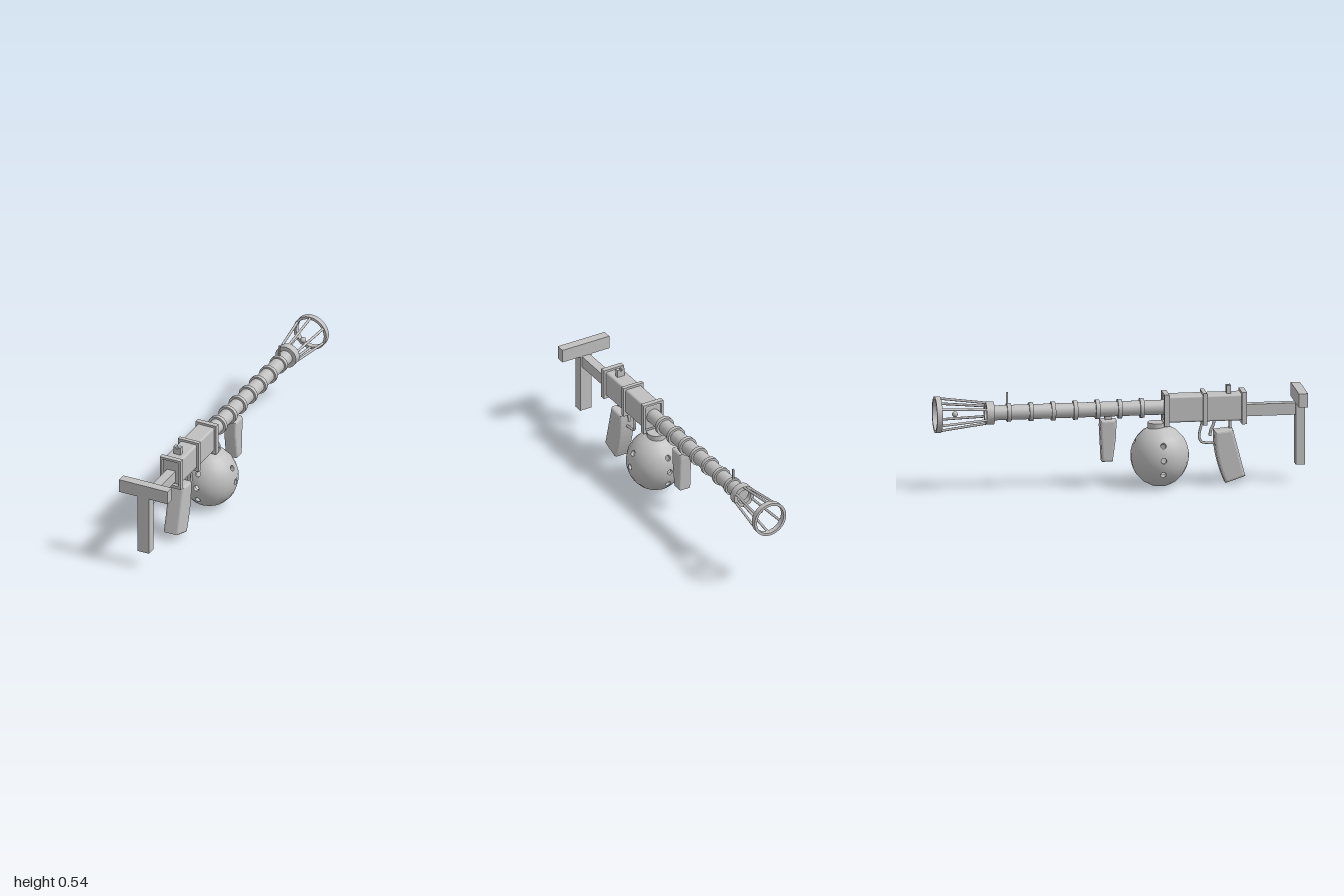
import * as THREE from 'three';
import { mergeGeometries, mergeVertices } from 'three/addons/utils/BufferGeometryUtils.js';
import { RoundedBoxGeometry } from 'three/addons/geometries/RoundedBoxGeometry.js';

const metal = new THREE.MeshStandardMaterial({ color: 0xc0c0c0, side: THREE.DoubleSide });
metal.name = 'grey metal';
const AXIS_Y = 0.43; // height of the barrel axis

export function createModel() {
  const model = new THREE.Group();

  const add = (name, geometry, x = 0, y = 0, z = 0) => {
    const mesh = new THREE.Mesh(geometry, metal);
    mesh.name = name;
    mesh.position.set(x, y, z);
    model.add(mesh);
    return mesh;
  };
  // box given by its limits
  const box = (name, x0, x1, y0, y1, z0, z1) =>
    add(name, new THREE.BoxGeometry(x1 - x0, y1 - y0, z1 - z0), (x0 + x1) / 2, (y0 + y1) / 2, (z0 + z1) / 2);
  // cylinder along z, centred on the barrel axis
  const roundZ = (name, r, z0, z1) =>
    add(name, new THREE.CylinderGeometry(r, r, z1 - z0, 24).rotateX(Math.PI / 2), 0, AXIS_Y, (z0 + z1) / 2);
  // hollow ring along z
  const ringZ = (name, outer, inner, z0, z1) => {
    const shape = new THREE.Shape().absarc(0, 0, outer, 0, Math.PI * 2);
    shape.holes.push(new THREE.Path().absarc(0, 0, inner, 0, Math.PI * 2, true));
    return add(name, new THREE.ExtrudeGeometry(shape, { depth: z1 - z0, bevelEnabled: false, curveSegments: 32 }), 0, AXIS_Y, z0);
  };
  const rod = (name, a, b, r) => {
    const dir = b.clone().sub(a);
    const mesh = add(name, new THREE.CylinderGeometry(r, r, dir.length(), 8));
    mesh.position.copy(a).add(b).multiplyScalar(0.5);
    mesh.quaternion.setFromUnitVectors(new THREE.Vector3(0, 1, 0), dir.normalize());
    return mesh;
  };
  const tube = (name, points, r) => {
    const path = new THREE.CatmullRomCurve3(points.map(([z, y]) => new THREE.Vector3(0, y, z)));
    return add(name, new THREE.TubeGeometry(path, 20, r, 8));
  };
  // handle whose side outline is given in (z, y), rounded at the edges
  const handle = (name, shape, halfWidth, bevel) => {
    const geometry = new THREE.ExtrudeGeometry(shape, {
      depth: 2 * (halfWidth - bevel), bevelThickness: bevel, bevelSize: bevel,
      bevelOffset: -bevel, bevelSegments: 3, curveSegments: 8,
    });
    geometry.translate(0, 0, bevel - halfWidth).rotateY(-Math.PI / 2);
    return add(name, geometry);
  };

  // shoulder stock
  box('stockCrossbar', -0.145, 0.145, 0.435, 0.51, 0.95, 1);
  box('stockPost', -0.035, 0.035, 0.098, 0.435, 0.95, 1);
  box('stockArm', -0.025, 0.025, 0.37, 0.435, 0.66, 0.95);

  // receiver and its bands
  add('receiver', new RoundedBoxGeometry(0.1, 0.145, 0.43, 2, 0.012), 0, 0.425, 0.455);
  for (const [z0, z1] of [[0.235, 0.263], [0.445, 0.467], [0.655, 0.683]]) {
    const frame = new THREE.Shape();
    frame.moveTo(-0.062, 0.335).lineTo(0.062, 0.335).lineTo(0.062, 0.51).lineTo(-0.062, 0.51).closePath();
    const hole = new THREE.Path();
    hole.moveTo(-0.049, 0.358).lineTo(-0.049, 0.492).lineTo(-0.044, 0.497).lineTo(0.044, 0.497);
    hole.lineTo(0.049, 0.492).lineTo(0.049, 0.358).lineTo(0.044, 0.353).lineTo(-0.044, 0.353).closePath();
    frame.holes.push(hole);
    add('receiverBand', new THREE.ExtrudeGeometry(frame, { depth: z1 - z0, bevelEnabled: false }), 0, 0, z0);
  }

  // notched rear sight
  box('rearSightBase', -0.022, 0.022, 0.49, 0.53, 0.578, 0.602);
  for (const s of [-1, 1]) add('rearSightLeaf', new THREE.BoxGeometry(0.017, 0.012, 0.024), s * 0.0135, 0.535, 0.59);

  // barrel with cooling rings
  roundZ('barrel', 0.04, -0.7, 0.26);
  for (let i = 0; i < 7; i++) {
    const z = 0.12 - i * 0.12;
    roundZ('barrelRing', 0.053 - i * 0.0005, z - 0.011, z + 0.011);
  }
  box('frontSight', -0.004, 0.004, 0.465, 0.54, -0.613, -0.603);

  // flared muzzle cage
  ringZ('muzzleCollar', 0.062, 0.04, -0.725, -0.682);
  ringZ('muzzleRing', 0.098, 0.083, -1, -0.97);
  for (let i = 0; i < 6; i++) {
    const a = Math.PI / 6 + (i * Math.PI) / 3;
    const at = (r, z) => new THREE.Vector3(Math.cos(a) * r, AXIS_Y + Math.sin(a) * r, z);
    rod('muzzleRod', at(0.055, -0.71), at(0.09, -0.98), 0.007);
  }
  add('muzzleBall', new THREE.SphereGeometry(0.016, 12, 8), 0, AXIS_Y, -0.89);

  // rear grip, slanted with a curved leading edge
  const grip = new THREE.Shape();
  grip.moveTo(0.61, 0.305).lineTo(0.677, 0.045).lineTo(0.57, 0.01);
  grip.quadraticCurveTo(0.505, 0.16, 0.512, 0.295).closePath();
  handle('rearGrip', grip, 0.046, 0.014);
  rod('gripPin', new THREE.Vector3(0, 0.28, 0.6), new THREE.Vector3(0, 0.36, 0.6), 0.008);

  // trigger and guard
  tube('trigger', [[0.515, 0.36], [0.51, 0.33], [0.495, 0.295], [0.49, 0.265]], 0.008);
  tube('triggerGuard', [[0.45, 0.36], [0.445, 0.33], [0.432, 0.265], [0.445, 0.233], [0.48, 0.227], [0.53, 0.222]], 0.007);

  // fore grip under the barrel
  const fore = new THREE.Shape();
  fore.moveTo(-0.019, 0.375).lineTo(-0.106, 0.375).lineTo(-0.108, 0.34);
  fore.lineTo(-0.098, 0.147).lineTo(-0.04, 0.147).lineTo(-0.022, 0.28).closePath();
  handle('foreGrip', fore, 0.037, 0.012);
  box('foreGripMount', -0.015, 0.015, 0.365, 0.4, -0.08, -0.045);

  // round magazine: a globe of lon/lat cells, some pierced by a hole
  const RX = 0.157, RY = 0.168, HOLE = 0.0155, CY = 0.168, CZ = 0.218;
  const rows = [-90, -72, -55, -38, -19, -9, 9, 19, 38, 55, 72, 90];
  const rad = THREE.MathUtils.degToRad;
  const onGlobe = (lon, lat, k = 1) => new THREE.Vector3(
    Math.cos(rad(lat)) * Math.cos(rad(lon)) * RX * k, Math.sin(rad(lat)) * RY * k,
    -Math.cos(rad(lat)) * Math.sin(rad(lon)) * RX * k);
  const cells = [], walls = [];
  rows.slice(0, -1).forEach((lat0, row) => {
    const lat1 = rows[row + 1], mid = (lat0 + lat1) / 2;
    for (let i = 0; i < 20; i++) {
      const lon = i * 18;
      const cell = new THREE.Shape();
      cell.moveTo(lon - 9, lat0).lineTo(lon + 9, lat0).lineTo(lon + 9, lat1).lineTo(lon - 9, lat1).closePath();
      if (i % 5 === 0 && [3, 5, 7].includes(row)) {
        const h = THREE.MathUtils.radToDeg(HOLE / RX);
        const rim = Array.from({ length: 12 }, (_, n) => new THREE.Vector2(
          lon + (h * Math.cos(-n * Math.PI / 6)) / Math.cos(rad(mid)), mid + h * Math.sin(-n * Math.PI / 6)));
        cell.holes.push(new THREE.Path(rim));
        // short wall running inwards from the rim
        const wall = new THREE.CylinderGeometry(1, 1, 1, 12, 1, true);
        const p = wall.attributes.position;
        for (let v = 0; v < p.count; v++) {
          const q = rim[(v % 13) % 12], o = onGlobe(q.x, q.y, v < 13 ? 1 : 0.88);
          p.setXYZ(v, o.x, o.y, o.z);
        }
        wall.computeVertexNormals();
        walls.push(wall);
      }
      const geometry = new THREE.ShapeGeometry(cell);
      const p = geometry.attributes.position, n = geometry.attributes.normal;
      for (let v = 0; v < p.count; v++) {
        const o = onGlobe(p.getX(v), p.getY(v));
        p.setXYZ(v, o.x, o.y, o.z);
        o.set(o.x / RX ** 2, o.y / RY ** 2, o.z / RX ** 2).normalize();
        n.setXYZ(v, o.x, o.y, o.z);
      }
      geometry.deleteAttribute('uv');
      cells.push(geometry);
    }
  });
  add('magazineGlobe', mergeVertices(mergeGeometries(cells)), 0, CY, CZ);
  add('magazineHoleWalls', mergeGeometries(walls), 0, CY, CZ);
  add('magazineNeck', new THREE.CylinderGeometry(0.052, 0.052, 0.05, 24), 0, 0.325, 0.205);

  return model;
}
